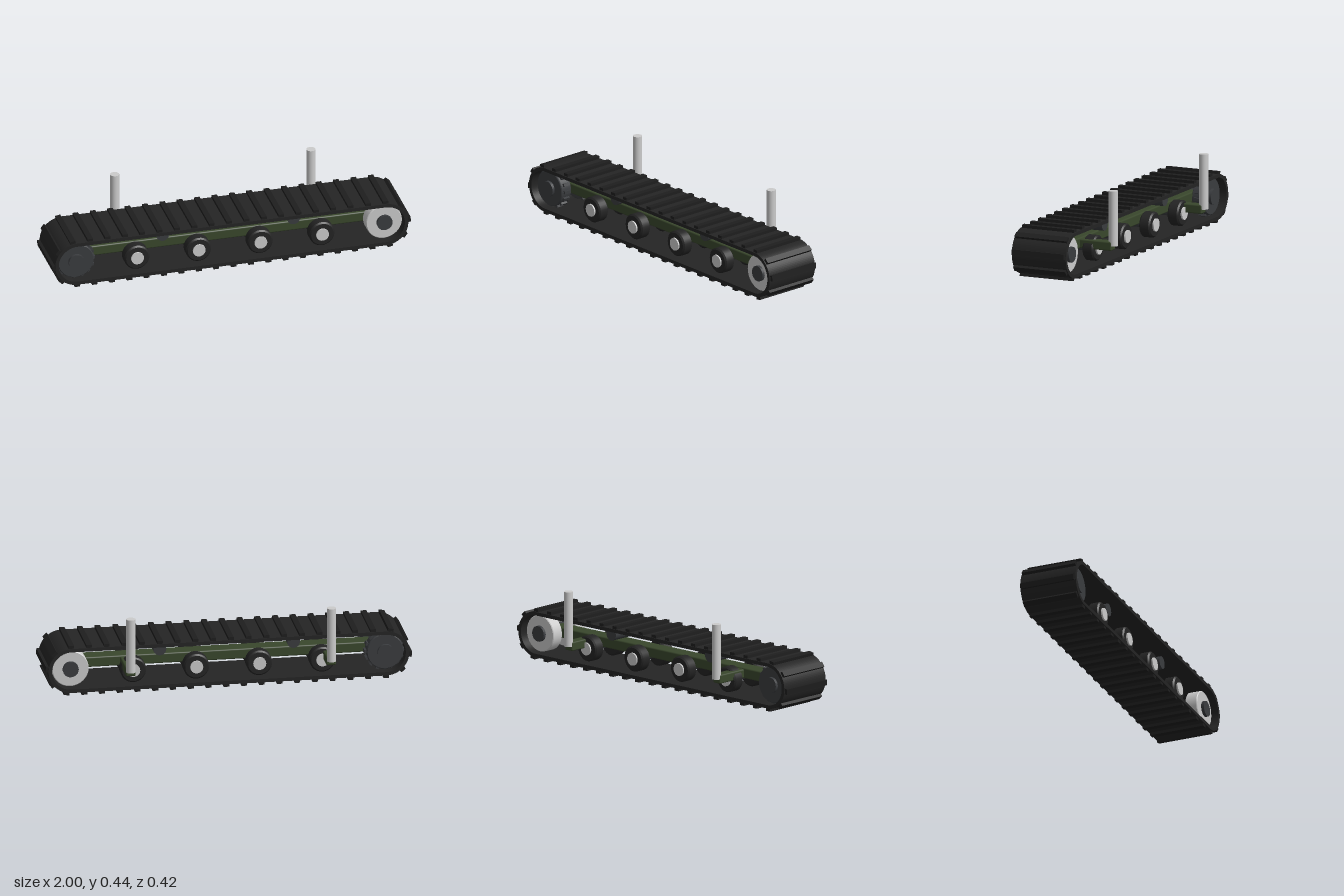
import * as THREE from 'three';
import { RoundedBoxGeometry } from 'three/addons/geometries/RoundedBoxGeometry.js';

const MID_Z = 0.048;   // centre plane of the track
const AXLE_Y = 0.143;  // height of the end wheels
const AXLE_X = 0.857;  // distance of the end wheels from the middle

const paint = (color) => new THREE.MeshStandardMaterial({ color });
const rubber = paint(0x242424), cleatMat = paint(0x1e1e1e), slate = paint(0x3a3c3f);
const green = paint(0x39472c), grey = paint(0xcccccc);

function add(parent, name, geometry, material, x = 0, y = 0, z = 0) {
  const mesh = new THREE.Mesh(geometry, material);
  mesh.name = name;
  mesh.position.set(x, y, z);
  parent.add(mesh);
  return mesh;
}

// Cylinder lying along z
const disc = (r, width, sides = 32) =>
  new THREE.CylinderGeometry(r, r, width, sides).rotateX(Math.PI / 2);

// Wheel profile with small bevels, turned around z
function tyre(r, width, bevel) {
  const h = width / 2;
  const points = [[0, -h], [r - bevel, -h], [r - bevel, -h], [r, -h + bevel], [r, -h + bevel],
    [r, h - bevel], [r, h - bevel], [r - bevel, h], [r - bevel, h], [0, h]];
  return new THREE.LatheGeometry(points.map((p) => new THREE.Vector2(...p)), 32).rotateX(Math.PI / 2);
}

// Closed loop with straight runs and round ends
function stadium(path, r) {
  path.moveTo(-AXLE_X, -r);
  path.lineTo(AXLE_X, -r);
  path.absarc(AXLE_X, 0, r, -Math.PI / 2, Math.PI / 2, false);
  path.lineTo(-AXLE_X, r);
  path.absarc(-AXLE_X, 0, r, Math.PI / 2, Math.PI * 1.5, false);
  return path;
}

function buildTrack() {
  const track = new THREE.Group();
  track.name = 'track';
  track.position.set(0, AXLE_Y, MID_Z);

  const shape = stadium(new THREE.Shape(), 0.125);
  shape.holes.push(stadium(new THREE.Path(), 0.106));
  const belt = new THREE.ExtrudeGeometry(shape, { depth: 0.323, bevelEnabled: false, curveSegments: 24 });
  add(track, 'belt', belt.translate(0, 0, -0.1615), rubber);

  // Cleats spaced evenly along the loop, starting at the lower left
  const count = 44, r = 0.131, run = 2 * AXLE_X, half = run + Math.PI * r;
  const cleat = new THREE.BoxGeometry(0.03, 0.019, 0.312);
  for (let i = 0; i < count; i++) {
    const s = ((i % (count / 2)) / (count / 2)) * half;
    const flip = i < count / 2 ? 1 : -1;
    const turn = s < run ? 0 : (s - run) / r;
    const x = (s < run ? s - AXLE_X : AXLE_X + r * Math.sin(turn)) * flip;
    const y = -r * Math.cos(turn) * flip;
    add(track, 'cleat', cleat, cleatMat, x, y).rotation.z = turn + (flip < 0 ? Math.PI : 0);
  }
  return track;
}

// Twin end wheel: two discs with hub caps on one axle
function buildEndWheel(name, x, material, toothed) {
  const wheel = new THREE.Group();
  wheel.name = name;
  wheel.position.set(x, AXLE_Y, MID_Z);
  add(wheel, 'axle', disc(0.035, 0.2, 24), slate);
  for (const side of [-1, 1]) {
    add(wheel, 'wheelDisc', tyre(0.1, 0.07, 0.004), material, 0, 0, side * 0.09);
    add(wheel, 'hubCap', disc(0.043, 0.02, 24), slate, 0, 0, side * 0.131);
    for (let i = 0; toothed && i < 16; i++) {
      const a = (i / 16) * Math.PI * 2;
      add(wheel, 'tooth', new THREE.BoxGeometry(0.018, 0.016, 0.04), material,
        Math.cos(a) * 0.102, Math.sin(a) * 0.102, side * 0.09).rotation.z = a;
    }
  }
  return wheel;
}

// Twin road wheel with light hubs
function buildRoadWheel(x) {
  const wheel = new THREE.Group();
  wheel.name = 'roadWheel';
  wheel.position.set(x, 0.115, MID_Z);
  add(wheel, 'axle', disc(0.02, 0.2, 20), slate);
  for (const side of [-1, 1]) {
    add(wheel, 'tyre', tyre(0.07, 0.065, 0.008), rubber, 0, 0, side * 0.0925);
    add(wheel, 'hub', disc(0.035, 0.012, 24), grey, 0, 0, side * 0.128);
  }
  return wheel;
}

export function createModel() {
  const model = new THREE.Group();
  model.name = 'trackUnit';
  model.add(buildTrack());
  model.add(buildEndWheel('driveSprocket', -AXLE_X, slate, true));
  model.add(buildEndWheel('idlerWheel', AXLE_X, grey, false));
  for (const x of [-0.516, -0.173, 0.17, 0.513]) model.add(buildRoadWheel(x));

  // Upper rollers that carry the returning belt
  for (const x of [-0.364, 0.364]) add(model, 'returnRoller', disc(0.035, 0.18, 24), slate, x, 0.214, MID_Z);

  // Side beam between the wheel pairs
  add(model, 'beam', new RoundedBoxGeometry(1.7, 0.057, 0.09, 3, 0.008), green, 0, 0.146, MID_Z);

  // Brackets reaching inward to the upright posts
  for (const x of [-0.546, 0.546]) {
    add(model, 'bracket', new RoundedBoxGeometry(0.055, 0.05, 0.22, 3, 0.008), green, x, 0.143, -0.073);
    add(model, 'post', new THREE.CylinderGeometry(0.025, 0.025, 0.302, 28), grey, x, 0.294, -0.183);
  }
  return model;
}
